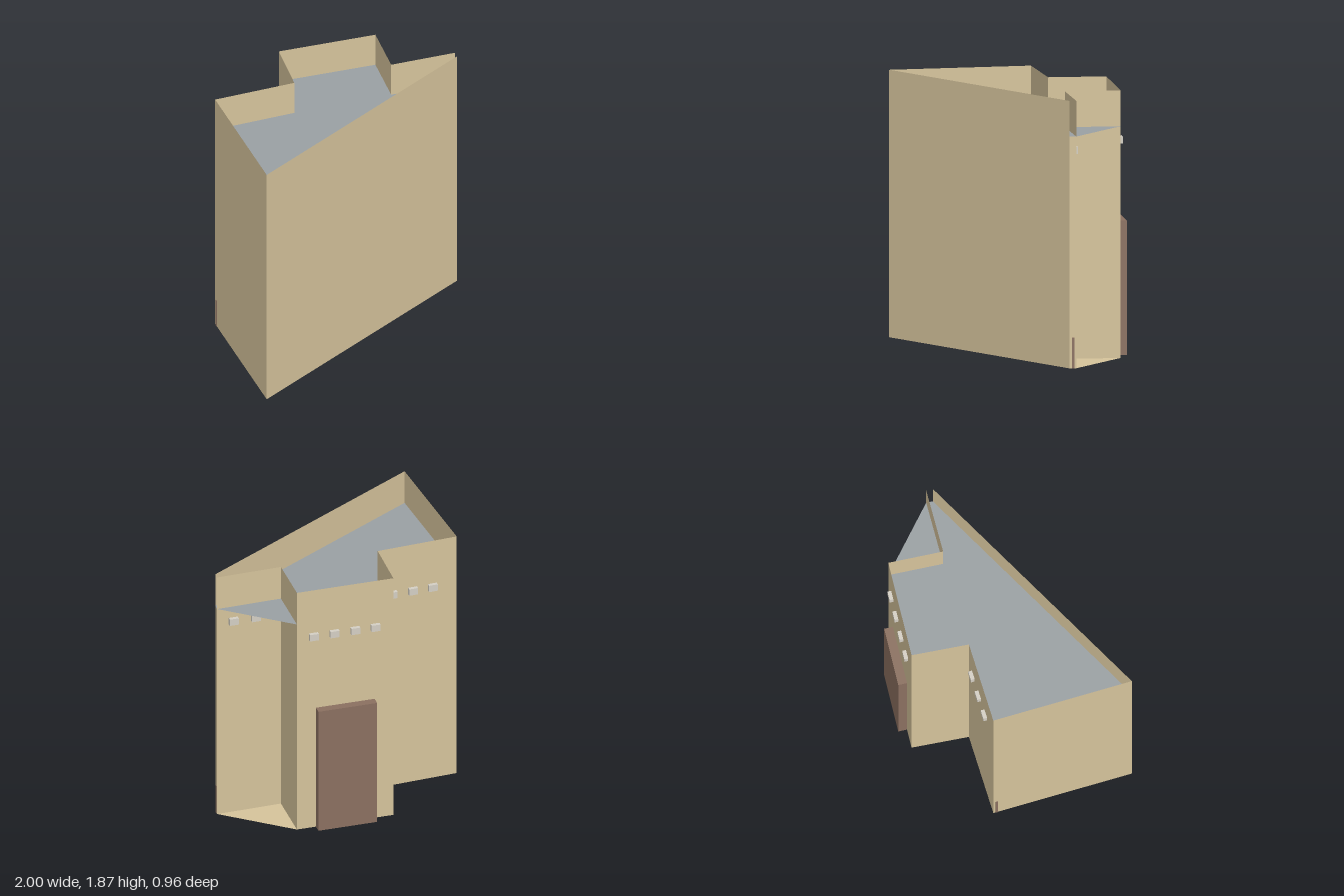
import * as THREE from 'three';

const HEIGHT = 1.87, ROOF_Y = 1.62;

// Footprint corners as [x, z], walked with the outside on the left
const A = [-1, 0.48], B = [-0.54, -0.41], C = [-0.02, -0.14], D = [0.2, -0.48],
  E = [0.8, -0.12], F = [0.595, 0.21], G = [1, 0.44], H = [0.975, 0.48];

const mat = (color) => new THREE.MeshStandardMaterial({ color, side: THREE.DoubleSide, flatShading: true });

export function createModel() {
  const model = new THREE.Group();
  const sand = mat(0xd5c39b), slate = mat(0x9aa0a3), brown = mat(0x8b7060), pale = mat(0xd4cfc4);

  const add = (name, geometry, material) => {
    const mesh = new THREE.Mesh(geometry, material);
    mesh.name = name;
    model.add(mesh);
    return mesh;
  };

  // Places a mesh at fraction t along a wall, pushed out by a distance, facing outward
  const placeOnWall = (mesh, a, b, t, y, out = 0) => {
    const dx = b[0] - a[0], dz = b[1] - a[1], len = Math.hypot(dx, dz);
    const nx = dz / len, nz = -dx / len;
    mesh.position.set(a[0] + dx * t + nx * out, y, a[1] + dz * t + nz * out);
    mesh.rotation.y = Math.atan2(nx, nz);
  };

  // Thin outer walls, rising past the roof as a parapet
  const wall = (name, a, b, height = HEIGHT) => {
    const len = Math.hypot(b[0] - a[0], b[1] - a[1]);
    placeOnWall(add(name, new THREE.PlaneGeometry(len, height), sand), a, b, 0.5, height / 2);
  };
  wall('rightWall', A, B);
  wall('rightBackWall', B, C);
  wall('rightStepWall', C, D);
  wall('middleBackWall', D, E);
  wall('leftStepWall', E, F);
  wall('leftBackWall', F, G);
  wall('cornerWall', G, H, ROOF_Y);
  wall('frontWall', H, A);

  // Floor and roof span the left notch
  const slab = (name, y, material) => {
    const outline = new THREE.Shape([A, B, C, D, E, G, H].map(([x, z]) => new THREE.Vector2(x, -z)));
    const geometry = new THREE.ShapeGeometry(outline).rotateX(-Math.PI / 2);
    add(name, geometry, material).position.y = y;
  };
  slab('floor', 0, sand);
  slab('roof', ROOF_Y, slate);

  // Boxes standing proud of a wall
  const block = (name, a, b, t, y, [w, h, d], material) =>
    placeOnWall(add(name, new THREE.BoxGeometry(w, h, d), material), a, b, t, y, d / 2);

  // Rows of small windows under the parapet
  const rows = [
    [B, C, [0.31, 0.56, 0.82]],
    [D, E, [0.19, 0.4, 0.615, 0.83]],
    [F, G, [0.4, 0.75]],
  ];
  for (const [a, b, spots] of rows)
    for (const t of spots) block('window', a, b, t, 1.51, [0.065, 0.05, 0.027], pale);

  // Large gate and the two narrow doors
  block('gate', D, E, 0.5, 0.47, [0.426, 0.94, 0.062], brown);
  block('cornerDoor', G, H, 0.45, 0.107, [0.016, 0.214, 0.003], brown);
  block('sideDoor', A, B, 0.975, 0.107, [0.016, 0.214, 0.003], brown);

  return model;
}
